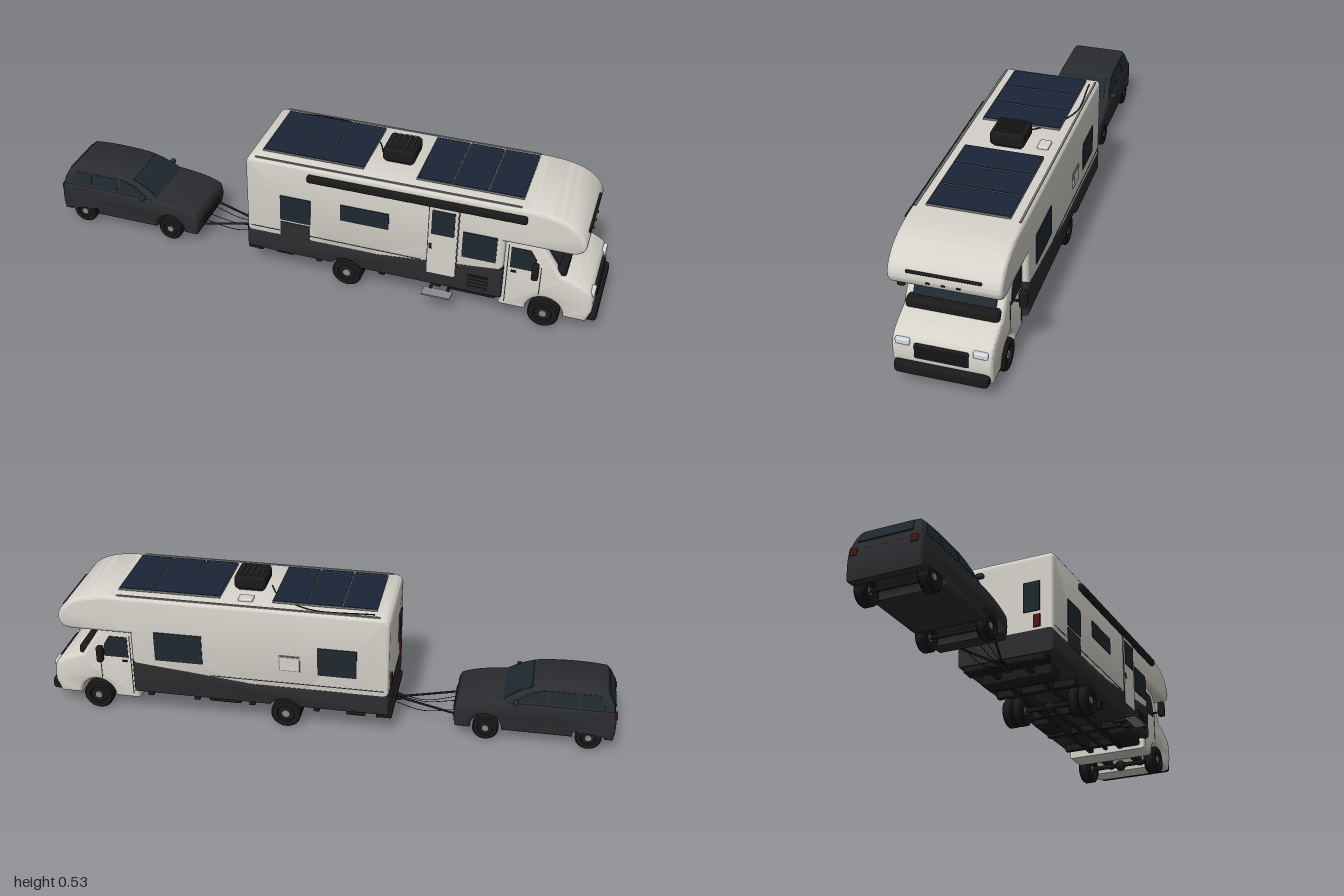
import * as THREE from 'three';
import { toCreasedNormals } from 'three/addons/utils/BufferGeometryUtils.js';
import { RoundedBoxGeometry } from 'three/addons/geometries/RoundedBoxGeometry.js';

const mat = (color) => new THREE.MeshStandardMaterial({ color });
const SHELL = mat(0xd6d3cb), DARK = mat(0x2c2d2f), BLACK = mat(0x1a1a1b), GLASS = mat(0x1f2830);
const SOLAR = mat(0x1a2536), METAL = mat(0x8a8b8d), LAMP = mat(0xd5d9e0), PAINT = mat(0x2b2c2f), RED = mat(0x4a1515);

function add(parent, name, geometry, material, x = 0, y = 0, z = 0) {
  const mesh = new THREE.Mesh(geometry, material);
  mesh.name = name;
  mesh.position.set(x, y, z);
  parent.add(mesh);
  return mesh;
}

// box given by its limits, rounded when r > 0
function block(parent, name, material, [x0, x1], [y0, y1], [z0, z1], r = 0) {
  const size = [x1 - x0, y1 - y0, z1 - z0];
  const geo = r ? new RoundedBoxGeometry(...size, 3, r) : new THREE.BoxGeometry(...size);
  return add(parent, name, geo, material, (x0 + x1) / 2, (y0 + y1) / 2, (z0 + z1) / 2);
}

// side profile extruded symmetrically across z, with edges rounded inside the outline
function slab(shape, half, bevel = 0) {
  const geo = new THREE.ExtrudeGeometry(shape, {
    depth: 2 * (half - bevel), bevelEnabled: bevel > 0, bevelThickness: bevel, bevelSize: bevel,
    bevelOffset: -bevel, bevelSegments: 4, curveSegments: 14,
  });
  geo.translate(0, 0, bevel - half);
  return toCreasedNormals(geo, 0.6);
}

const poly = (pts) => new THREE.Shape(pts.map(([x, y]) => new THREE.Vector2(x, y)));

// wheel arch cut into a bottom edge drawn towards +x
function arch(s, cx, cy, r, base) {
  const a = Math.asin((base - cy) / r);
  s.lineTo(cx - r * Math.cos(a), base);
  s.absarc(cx, cy, r, Math.PI - a, a, true);
}

// narrows a geometry towards the top
function taper(geo, y0, k) {
  const p = geo.attributes.position;
  for (let i = 0; i < p.count; i++) p.setZ(i, p.getZ(i) * (1 - k * (p.getY(i) - y0)));
  return toCreasedNormals(geo, 0.6);
}

function wheel(parent, name, x, y, z, r, w) {
  const g = new THREE.Group();
  g.name = name;
  const h = w / 2, prof = [[0, -h * 0.7], [r * 0.55, -h * 0.7], [r * 0.6, -h], [r * 0.9, -h], [r, -h * 0.7],
    [r, h * 0.7], [r * 0.9, h], [r * 0.6, h], [r * 0.55, h * 0.7], [0, h * 0.7]];
  const tyre = new THREE.LatheGeometry(prof.map(([a, b]) => new THREE.Vector2(a, b)), 32);
  add(g, 'tyre', toCreasedNormals(tyre.rotateX(Math.PI / 2), 0.5), BLACK);
  add(g, 'hub', new THREE.CylinderGeometry(r * 0.25, r * 0.25, w * 0.9, 16).rotateX(Math.PI / 2), METAL);
  g.position.set(x, y, z);
  parent.add(g);
}

function rod(parent, name, pts, r, material) {
  const curve = new THREE.CatmullRomCurve3(pts.map((p) => new THREE.Vector3(...p)));
  add(parent, name, new THREE.TubeGeometry(curve, 16, r, 8), material);
}

function motorhome() {
  const g = new THREE.Group();
  g.name = 'motorhome';
  const W = 0.176;
  // thin panel on one long side
  const panel = (name, m, xs, ys, s, t = 0.003) =>
    block(g, name, m, xs, ys, s > 0 ? [W - 0.004, W + t] : [-W - t, -W + 0.004]);

  // living shell with the overhanging sleeping berth
  const body = new THREE.Shape();
  body.moveTo(-0.225, 0.096);
  arch(body, 0.137, 0.055, 0.066, 0.096);
  body.lineTo(0.68, 0.096);
  body.lineTo(0.68, 0.328);
  body.lineTo(0.885, 0.328);
  body.bezierCurveTo(0.935, 0.328, 0.947, 0.36, 0.935, 0.39);
  body.bezierCurveTo(0.905, 0.45, 0.83, 0.468, 0.74, 0.47);
  body.lineTo(-0.195, 0.47);
  body.quadraticCurveTo(-0.225, 0.47, -0.225, 0.44);
  add(g, 'livingShell', slab(body, W, 0.014), SHELL);

  // dark lower band that rises towards the front
  const band = new THREE.Shape();
  band.moveTo(-0.2265, 0.095);
  arch(band, 0.137, 0.055, 0.0655, 0.095);
  band.lineTo(0.681, 0.095);
  band.lineTo(0.681, 0.225);
  band.lineTo(0.25, 0.18);
  band.lineTo(-0.2265, 0.18);
  add(g, 'lowerBand', slab(band, W + 0.0015, 0.012), DARK);

  // entry side
  panel('entryDoor', SHELL, [0.425, 0.522], [0.148, 0.418], 1, 0.004);
  panel('entryDoorWindow', GLASS, [0.434, 0.512], [0.31, 0.405], 1, 0.006);
  panel('doorHandle', BLACK, [0.428, 0.438], [0.25, 0.27], 1, 0.007);
  for (const x of [0.422, 0.523]) panel('doorSeam', DARK, [x, x + 0.003], [0.148, 0.42], 1);
  panel('dinetteWindow', GLASS, [0.54, 0.655], [0.24, 0.34], 1);
  panel('kitchenWindow', GLASS, [0.117, 0.287], [0.287, 0.35], 1);
  panel('bedroomWindow', GLASS, [-0.1, 0.01], [0.24, 0.34], 1);
  panel('cargoHatch', DARK, [-0.1, 0.005], [0.17, 0.232], 1);
  panel('generatorVent', BLACK, [0.565, 0.635], [0.115, 0.172], 1);
  for (let i = 0; i < 4; i++) panel('ventSlat', DARK, [0.568, 0.632], [0.12 + i * 0.013, 0.127 + i * 0.013], 1, 0.006);
  block(g, 'awning', BLACK, [0, 0.745], [0.42, 0.447], [W - 0.006, W + 0.016], 0.008);
  block(g, 'entryStep', METAL, [0.42, 0.52], [0.08, 0.085], [0.18, 0.222]);
  for (const x of [0.44, 0.5]) block(g, 'stepArm', BLACK, [x, x + 0.008], [0.082, 0.095], [0.12, 0.185]);

  // far side
  panel('loungeWindow', GLASS, [0.425, 0.595], [0.235, 0.345], -1);
  panel('fridgeHatch', SHELL, [0.085, 0.15], [0.245, 0.295], -1, 0.005);
  panel('fridgeHatchFrame', METAL, [0.081, 0.154], [0.241, 0.299], -1, 0.003);
  panel('rearSideWindow', GLASS, [-0.115, 0.02], [0.235, 0.34], -1);
  for (const s of [1, -1]) panel('pinstripe', DARK, [-0.21, 0.4], [0.19, 0.193], s, 0.001);

  // tail
  block(g, 'rearWindow', GLASS, [-0.23, -0.22], [0.25, 0.36], [0.07, 0.13]);
  for (const s of [1, -1]) block(g, 'tailLamp', RED, [-0.231, -0.22], [0.19, 0.235], [s * 0.12 - 0.012, s * 0.12 + 0.012]);
  block(g, 'rearBumper', BLACK, [-0.235, -0.2], [0.068, 0.092], [-0.15, 0.15], 0.006);

  // roof: solar panels, cooler, vent and edge rails
  for (const x0 of [-0.176, 0.363]) {
    for (let i = 0; i < 3; i++) {
      const x = x0 + i * 0.12;
      block(g, 'solarFrame', METAL, [x, x + 0.117], [0.477, 0.483], [-0.135, 0.13]);
      block(g, 'solarPanel', SOLAR, [x + 0.002, x + 0.115], [0.48, 0.485], [-0.133, 0.128]);
      for (const z of [-0.1, 0.1]) block(g, 'solarMount', METAL, [x + 0.03, x + 0.06], [0.466, 0.479], [z - 0.008, z + 0.008]);
    }
  }
  block(g, 'roofCooler', BLACK, [0.223, 0.333], [0.476, 0.526], [-0.057, 0.058], 0.012);
  block(g, 'coolerBase', DARK, [0.235, 0.32], [0.466, 0.48], [-0.045, 0.045]);
  for (let i = 0; i < 5; i++) block(g, 'coolerRib', DARK, [0.236 + i * 0.019, 0.243 + i * 0.019], [0.52, 0.529], [-0.045, 0.045]);
  block(g, 'roofVent', SHELL, [0.252, 0.302], [0.465, 0.479], [-0.13, -0.092], 0.004);
  rod(g, 'solarCable', [[-0.17, 0.472, -0.148], [0.05, 0.472, -0.15], [0.18, 0.472, -0.06], [0.21, 0.472, 0]], 0.002, BLACK);
  for (const s of [1, -1]) block(g, 'roofRail', METAL, [-0.19, 0.72], [0.466, 0.473], [s * 0.164 - 0.003, s * 0.164 + 0.003]);

  // berth front trim
  block(g, 'berthStrip', BLACK, [0.915, 0.94], [0.387, 0.395], [-0.116, 0.116], 0.003);
  for (const z of [-0.047, 0, 0.047]) block(g, 'markerLamp', BLACK, [0.93, 0.943], [0.362, 0.366], [z - 0.006, z + 0.006]);

  // driving cab
  const cab = new THREE.Shape();
  cab.moveTo(0.67, 0.055);
  arch(cab, 0.825, 0.055, 0.064, 0.055);
  cab.lineTo(0.965, 0.055);
  cab.lineTo(0.982, 0.1);
  cab.quadraticCurveTo(0.985, 0.165, 0.965, 0.182);
  cab.quadraticCurveTo(0.93, 0.207, 0.87, 0.222);
  cab.lineTo(0.8, 0.328);
  cab.lineTo(0.67, 0.34);
  add(g, 'cab', slab(cab, 0.157, 0.014), SHELL);
  add(g, 'windscreen', slab(poly([[0.86, 0.225], [0.874, 0.225], [0.813, 0.317], [0.795, 0.317]]), 0.13), GLASS);
  block(g, 'cowl', BLACK, [0.835, 0.885], [0.212, 0.249], [-0.147, 0.147], 0.012);
  add(g, 'cabSideWindows', slab(poly([[0.7, 0.222], [0.795, 0.222], [0.785, 0.27], [0.765, 0.303], [0.7, 0.303]]), 0.159), GLASS);
  for (const x of [0.69, 0.802]) block(g, 'cabDoorSeam', DARK, [x, x + 0.003], [x > 0.7 ? 0.13 : 0.075, x > 0.7 ? 0.24 : 0.31], [-0.158, 0.158]);
  block(g, 'bumper', BLACK, [0.93, 1], [0.057, 0.101], [-0.148, 0.148], 0.013);
  block(g, 'grille', BLACK, [0.95, 0.986], [0.113, 0.166], [-0.085, 0.085], 0.006);
  for (let i = 0; i < 4; i++) block(g, 'grilleBar', DARK, [0.97, 0.989], [0.119 + i * 0.012, 0.124 + i * 0.012], [-0.078, 0.078]);
  for (const s of [1, -1]) {
    block(g, 'headlamp', LAMP, [0.94, 0.984], [0.155, 0.176], [s * 0.121 - 0.023, s * 0.121 + 0.023], 0.005);
    block(g, 'mirror', BLACK, [0.778, 0.8], [0.22, 0.28], [s * 0.194 - 0.013, s * 0.194 + 0.013], 0.006);
    block(g, 'mirrorArm', BLACK, [0.786, 0.792], [0.235, 0.241], [s * 0.17 - 0.016, s * 0.17 + 0.016]);
    block(g, 'cabHandle', BLACK, [0.705, 0.722], [0.205, 0.211], [s * 0.158 - 0.004, s * 0.158 + 0.004]);
    // running gear
    wheel(g, 'frontWheel', 0.825, 0.055, s * 0.138, 0.053, 0.046);
    for (const z of [0.145, 0.107]) wheel(g, 'rearWheel', 0.137, 0.055, s * z, 0.053, 0.036);
    block(g, 'chassisRail', BLACK, [-0.22, 0.92], [0.066, 0.097], [s * 0.062 - 0.009, s * 0.062 + 0.009]);
  }
  for (const x of [0.137, 0.825]) {
    add(g, 'axle', new THREE.CylinderGeometry(0.009, 0.009, 0.25, 12).rotateX(Math.PI / 2), BLACK, x, 0.055, 0);
    add(g, 'differential', new THREE.SphereGeometry(0.021, 16, 12), BLACK, x, 0.053, 0);
  }
  rod(g, 'driveshaft', [[0.137, 0.055, 0], [0.7, 0.075, 0]], 0.007, BLACK);
  for (const x of [-0.2, 0.02, 0.25, 0.45, 0.62]) block(g, 'crossMember', BLACK, [x, x + 0.02], [0.07, 0.097], [-0.15, 0.15]);
  block(g, 'wasteTank', BLACK, [-0.14, -0.07], [0.053, 0.097], [-0.13, 0.13], 0.008);
  block(g, 'waterTank', BLACK, [0.3, 0.42], [0.062, 0.097], [-0.14, -0.08], 0.008);
  block(g, 'fuelTank', BLACK, [0.5, 0.66], [0.062, 0.097], [0.075, 0.145], 0.008);
  return g;
}

function towedCar() {
  const g = new THREE.Group();
  g.name = 'towedCar';
  const lower = new THREE.Shape();
  lower.moveTo(-0.99, 0.046);
  arch(lower, -0.907, 0.05, 0.054, 0.046);
  arch(lower, -0.557, 0.05, 0.054, 0.046);
  lower.lineTo(-0.452, 0.046);
  lower.quadraticCurveTo(-0.435, 0.1, -0.455, 0.128);
  lower.quadraticCurveTo(-0.5, 0.152, -0.61, 0.162);
  lower.lineTo(-0.985, 0.162);
  lower.quadraticCurveTo(-1.002, 0.11, -0.99, 0.046);
  add(g, 'carBody', slab(lower, 0.124, 0.014), PAINT);
  // cabin narrowing to the roof
  const top = new THREE.Shape();
  top.moveTo(-0.99, 0.145);
  top.lineTo(-0.59, 0.145);
  top.quadraticCurveTo(-0.66, 0.205, -0.73, 0.22);
  top.quadraticCurveTo(-0.86, 0.235, -0.955, 0.22);
  top.quadraticCurveTo(-0.98, 0.2, -0.99, 0.145);
  add(g, 'carCabin', taper(slab(top, 0.12, 0.01), 0.15, 2.2), PAINT);
  for (const pts of [[[-0.955, 0.168], [-0.87, 0.168], [-0.87, 0.212], [-0.935, 0.212]],
    [[-0.86, 0.168], [-0.765, 0.168], [-0.765, 0.212], [-0.86, 0.212]],
    [[-0.755, 0.168], [-0.655, 0.168], [-0.69, 0.195], [-0.735, 0.21], [-0.755, 0.212]]])
    add(g, 'carSideWindows', taper(slab(poly(pts), 0.1215), 0.15, 2.2), GLASS);
  add(g, 'carWindscreen', taper(slab(poly([[-0.625, 0.165], [-0.612, 0.165], [-0.65, 0.192], [-0.705, 0.215], [-0.71, 0.212]]), 0.104), 0.15, 2.2), GLASS);
  add(g, 'carRearWindow', taper(slab(poly([[-0.98, 0.17], [-0.955, 0.212], [-0.966, 0.214], [-0.99, 0.17]]), 0.095), 0.15, 2.2), GLASS);
  for (const s of [1, -1]) {
    for (const x of [-0.907, -0.557]) wheel(g, 'carWheel', x, 0.05, s * 0.105, 0.045, 0.036);
    block(g, 'carHeadlamp', LAMP, [-0.475, -0.452], [0.112, 0.126], [s * 0.092 - 0.014, s * 0.092 + 0.014], 0.004);
    block(g, 'carTailLamp', RED, [-0.997, -0.98], [0.125, 0.15], [s * 0.1 - 0.012, s * 0.1 + 0.012], 0.004);
    block(g, 'carMirror', PAINT, [-0.664, -0.646], [0.162, 0.178], [s * 0.13 - 0.012, s * 0.13 + 0.012], 0.005);
  }
  for (const x of [-0.907, -0.557])
    add(g, 'carAxle', new THREE.CylinderGeometry(0.007, 0.007, 0.2, 10).rotateX(Math.PI / 2), BLACK, x, 0.05, 0);
  block(g, 'carGrille', BLACK, [-0.46, -0.441], [0.07, 0.1], [-0.07, 0.07], 0.005);
  return g;
}

// A-frame tow bar with sagging safety cables
function towBar() {
  const g = new THREE.Group();
  g.name = 'towBar';
  block(g, 'hitch', BLACK, [-0.25, -0.19], [0.06, 0.076], [-0.01, 0.01]);
  for (const s of [1, -1]) {
    rod(g, 'towArm', [[-0.235, 0.068, 0], [-0.45, 0.068, s * 0.075]], 0.004, BLACK);
    rod(g, 'safetyCable', [[-0.225, 0.068, s * 0.03], [-0.33, 0.043, s * 0.035], [-0.45, 0.066, s * 0.045]], 0.0012, BLACK);
  }
  rod(g, 'powerCable', [[-0.225, 0.07, 0.012], [-0.33, 0.052, 0.01], [-0.45, 0.07, 0.01]], 0.0012, BLACK);
  return g;
}

export function createModel() {
  const model = new THREE.Group();
  model.name = 'motorhomeTowingCar';
  for (const part of [motorhome(), towedCar(), towBar()]) {
    part.position.z = -0.007;
    model.add(part);
  }
  return model;
}
